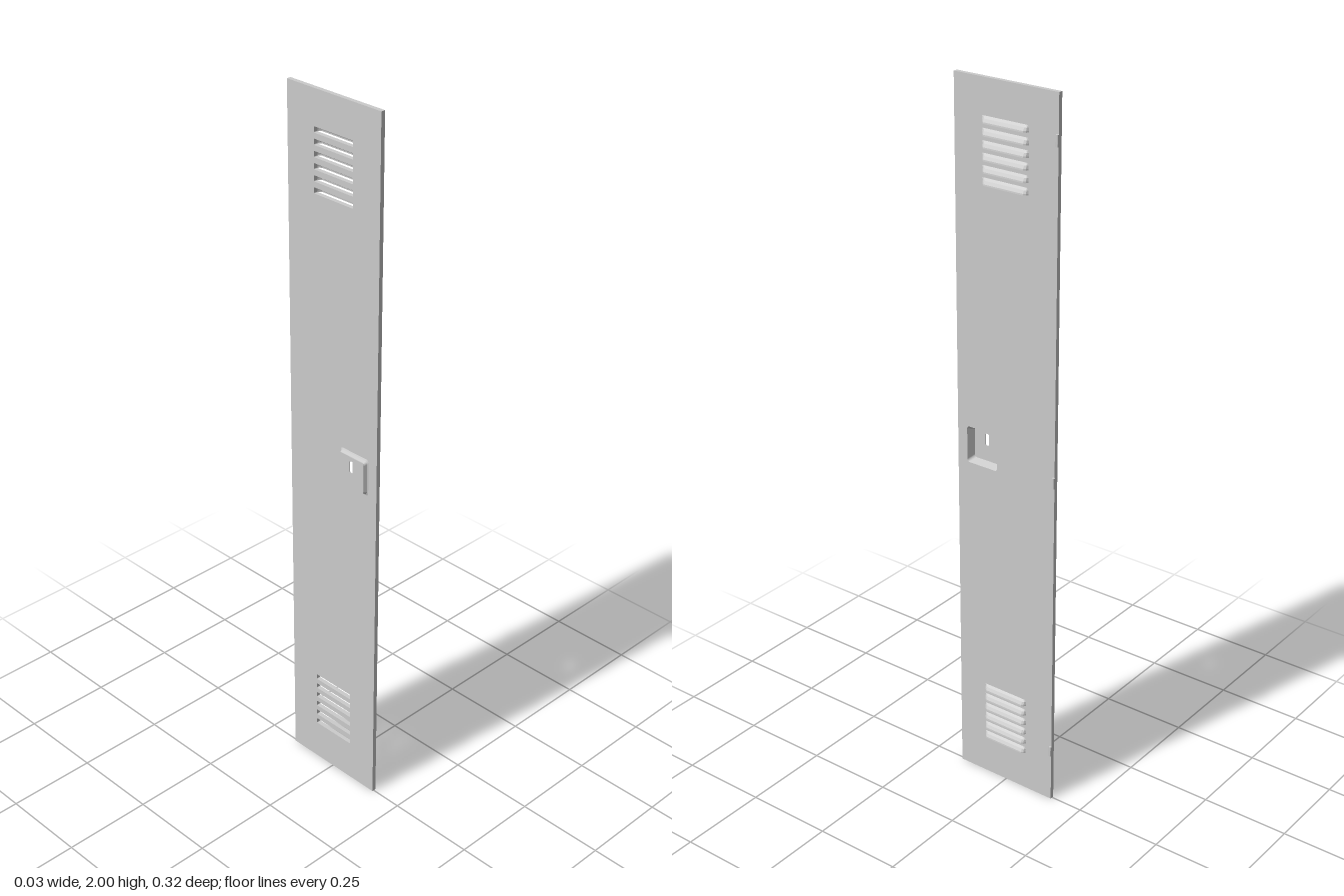
import * as THREE from 'three';

const grey = new THREE.MeshStandardMaterial({ color: 0xcccccc, side: THREE.DoubleSide, flatShading: true });

// Rounded rectangle centred on (cx, cy), usable as a shape or a hole
function roundRect(cx, cy, w, h, r, Type = THREE.Shape) {
  const p = new Type(), x = w / 2, y = h / 2;
  p.absarc(cx + x - r, cy + y - r, r, 0, Math.PI / 2);
  p.absarc(cx - x + r, cy + y - r, r, Math.PI / 2, Math.PI);
  p.absarc(cx - x + r, cy - y + r, r, Math.PI, Math.PI * 1.5);
  p.absarc(cx + x - r, cy - y + r, r, Math.PI * 1.5, Math.PI * 2);
  p.closePath();
  return p;
}

// Skin a surface over rows of [x, y, z] points
function skin(rows) {
  const n = rows[0].length, index = [];
  for (let i = 0; i < rows.length - 1; i++) {
    for (let j = 0; j < n - 1; j++) {
      const a = i * n + j, b = a + n;
      index.push(a, b, b + 1, a, b + 1, a + 1);
    }
  }
  const g = new THREE.BufferGeometry();
  g.setAttribute('position', new THREE.Float32BufferAttribute(rows.flat(2), 3));
  g.setIndex(index);
  g.computeVertexNormals();
  return g;
}

function extrude(shape, z, depth) {
  return new THREE.ExtrudeGeometry(shape, { depth, bevelEnabled: false, curveSegments: 4 }).translate(0, 0, z);
}

export function createModel() {
  const model = new THREE.Group();
  model.name = 'lockerDoor';
  // Built facing +z, then turned so the outer face looks along +x
  const door = new THREE.Group();
  door.name = 'door';
  door.rotation.y = Math.PI / 2;
  door.position.x = 0.001;
  model.add(door);
  const add = (name, geometry, x = 0, y = 0, z = 0) => {
    const m = new THREE.Mesh(geometry, grey);
    m.name = name;
    m.position.set(x, y, z);
    door.add(m);
  };

  const face = 0.006, louverX = -0.002, louverH = 0.018, pitch = 0.031;
  const cupX = -0.079, cupY = 1.013;
  const louverYs = [];
  for (const base of [0.117, 1.733]) {
    for (let i = 0; i < 6; i++) louverYs.push(base + i * pitch);
  }

  // Door panel with vent slots and handle opening
  const panel = new THREE.Shape();
  panel.moveTo(-0.158, 0).lineTo(0.155, 0).lineTo(0.155, 2).lineTo(-0.158, 2).closePath();
  for (const y of louverYs) {
    panel.holes.push(roundRect(louverX, y + louverH / 2, 0.132, louverH - 0.002, 0.002, THREE.Path));
  }
  panel.holes.push(roundRect(cupX, cupY, 0.098, 0.104, 0.008, THREE.Path));
  add('panel', extrude(panel, -face, face * 2));

  // Louvers: hoods sloping outward, open underneath
  const profile = [[louverH, 0], [0.012, 0.005], [0.004, 0.0095], [0, 0.01]];
  const stations = [[-0.07, 0], [-0.066, 0.6], [-0.06, 1], [0.06, 1], [0.066, 0.6], [0.07, 0]];
  const hood = skin(stations.map(([x, k]) => profile.map(([y, z]) => [x, y, z * k])));
  for (const y of louverYs) add('louver', hood, louverX, y, face);

  // Handle cup: inner walls, outer walls and a slotted back plate
  const ring = ([z, w, h]) =>
    roundRect(cupX, cupY, w, h, 0.008).getPoints(4).map((p) => [p.x, p.y, z]);
  add('cupInnerWall', skin([[face, 0.098, 0.104], [-0.016, 0.082, 0.088]].map(ring)));
  add('cupOuterWall', skin([[-face, 0.1, 0.106], [-0.008, 0.094, 0.098], [-0.016, 0.088, 0.092]].map(ring)));
  const back = roundRect(cupX, cupY, 0.088, 0.092, 0.008);
  back.holes.push(roundRect(cupX, 1.03, 0.011, 0.034, 0.003, THREE.Path));
  add('cupBack', extrude(back, -0.018, 0.002));

  // Hinge knuckles along the far edge
  const knuckle = new THREE.CylinderGeometry(0.004, 0.004, 0.03, 12);
  for (const y of [0.16, 0.985, 1.885]) add('hinge', knuckle, 0.154, y, 0.0095);

  return model;
}
